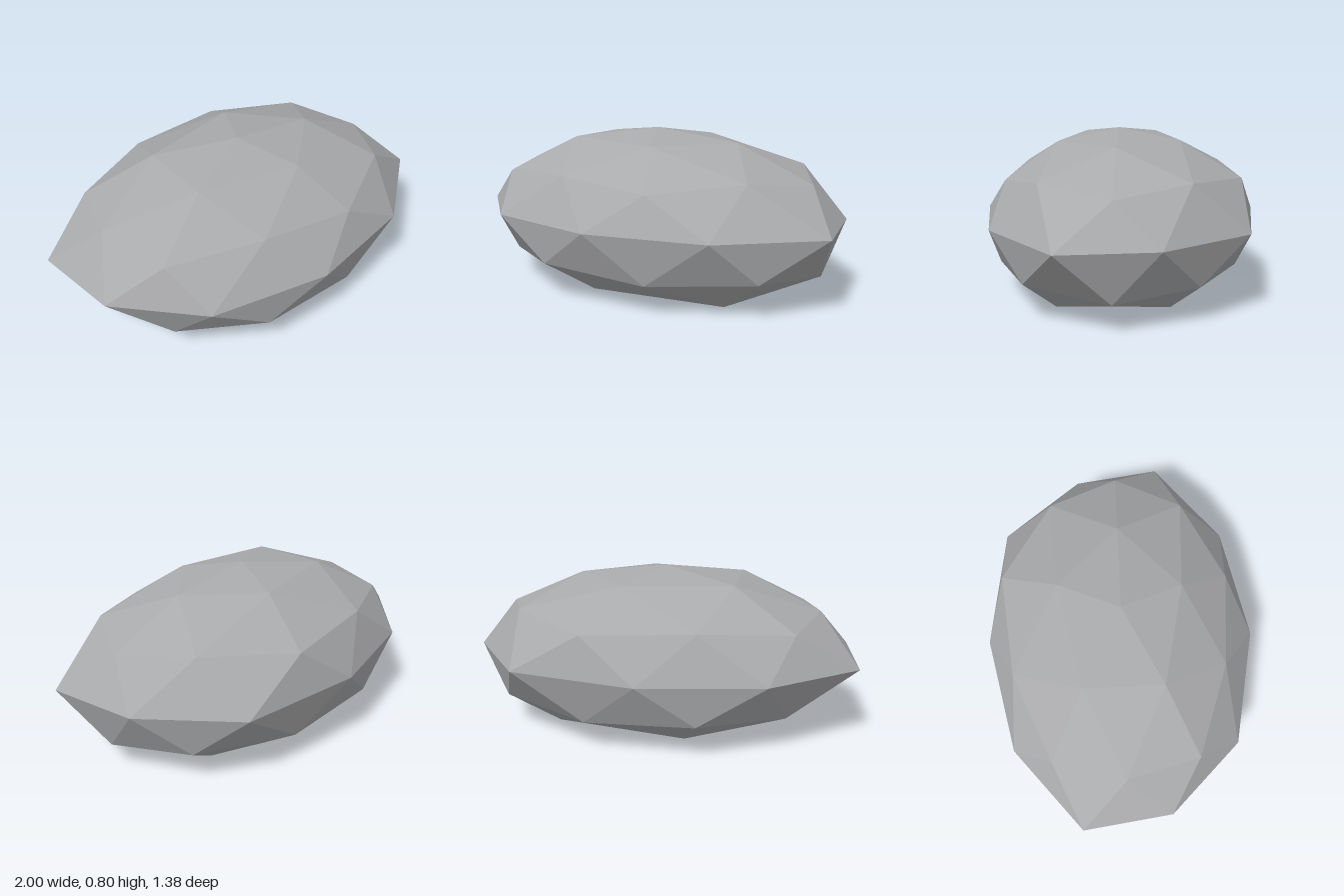
import * as THREE from 'three';

// Rings of corners run round the stone from +x towards +z, each as [x, y, z].
const rim = [
  [1, 0.38, 0.235], [0.57, 0.38, 0.575], [-0.015, 0.38, 0.69], [-0.6, 0.38, 0.57], [-0.94, 0.38, 0.22],
  [-1, 0.38, -0.22], [-0.6, 0.38, -0.56], [-0.015, 0.38, -0.695], [0.61, 0.38, -0.61], [0.935, 0.38, -0.21],
];
const crown = {
  pole: [-0.01, 0.8, 0],
  inner: [[0.44, 0.745, 0], [0.12, 0.74, 0.305], [-0.39, 0.75, 0.195], [-0.39, 0.75, -0.195], [0.14, 0.75, -0.31]],
  outer: [
    [0.83, 0.57, 0], [0.64, 0.61, 0.34], [0.24, 0.56, 0.555], [-0.25, 0.6, 0.51], [-0.7, 0.57, 0.355],
    [-0.8, 0.6, 0], [-0.7, 0.57, -0.355], [-0.27, 0.6, -0.54], [0.265, 0.58, -0.605], [0.66, 0.615, -0.345],
  ],
};
// The underside is cut flat where the stone rests on the ground.
const base = {
  pole: [0, 0, 0],
  inner: [[0.51, 0, 0.28], [-0.18, 0, 0.36], [-0.55, 0, 0], [-0.18, 0, -0.35], [0.5, 0, -0.26]],
  outer: [
    [0.885, 0.135, 0], [0.73, 0.175, 0.4], [0.25, 0.145, 0.585], [-0.295, 0.18, 0.61], [-0.67, 0.155, 0.36],
    [-0.865, 0.19, 0], [-0.67, 0.155, -0.35], [-0.28, 0.175, -0.6], [0.26, 0.145, -0.585], [0.73, 0.17, -0.38],
  ],
};

// One half of the faceted stone: pole fan, five-to-ten band, then zigzag to the rim.
// shift is the position in the outer ring of the first inner corner.
function halfStone({ pole, inner, outer }, shift, down) {
  const positions = [];
  const at = (ring, i) => ring[(i + ring.length) % ring.length];
  const face = (a, b, c) => positions.push(...a, ...(down ? b : c), ...(down ? c : b));
  for (let i = 0; i < 5; i++) {
    const j = 2 * i + shift;
    const a = at(inner, i), next = at(inner, i + 1);
    face(pole, a, next);
    face(a, at(outer, j - 1), at(outer, j));
    face(a, at(outer, j), at(outer, j + 1));
    face(a, at(outer, j + 1), next);
  }
  for (let j = 0; j < 10; j++) {
    face(at(outer, j), at(rim, j - 1), at(rim, j));
    face(at(outer, j), at(rim, j), at(outer, j + 1));
  }
  const geometry = new THREE.BufferGeometry();
  geometry.setAttribute('position', new THREE.Float32BufferAttribute(positions, 3));
  geometry.computeVertexNormals();
  return geometry;
}

export function createModel() {
  const stone = new THREE.MeshStandardMaterial({ color: 0xa9aaac, flatShading: true });
  stone.name = 'grey stone';

  const group = new THREE.Group();
  group.name = 'rock';

  const upper = new THREE.Mesh(halfStone(crown, 0, false), stone);
  upper.name = 'upperStone';
  const lower = new THREE.Mesh(halfStone(base, 1, true), stone);
  lower.name = 'lowerStone';
  group.add(upper, lower);
  return group;
}
